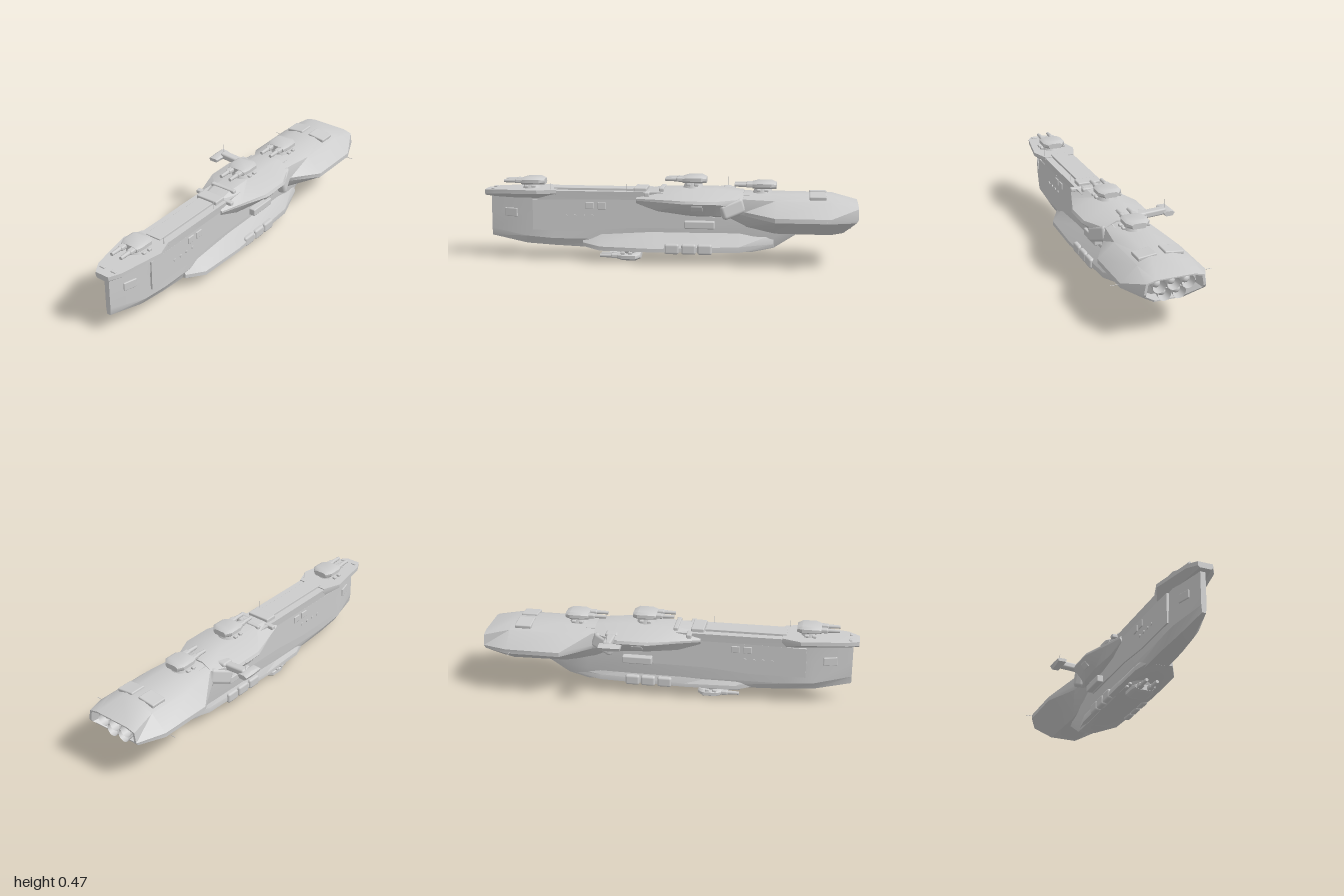
import * as THREE from 'three';
import { toCreasedNormals } from 'three/addons/utils/BufferGeometryUtils.js';
import { RoundedBoxGeometry } from 'three/addons/geometries/RoundedBoxGeometry.js';

const grey = new THREE.MeshStandardMaterial({ color: 0xcccccc });
const open = new THREE.MeshStandardMaterial({ color: 0xcccccc, side: THREE.DoubleSide });

function add(parent, name, geo, x = 0, y = 0, z = 0, mat = grey) {
  const m = new THREE.Mesh(geo, mat);
  m.name = name;
  m.position.set(x, y, z);
  parent.add(m);
  return m;
}

// Skin mirrored half outlines [x, y, dz] (top to bottom), ordered bow to stern;
// leftScale narrows the -x side.
function loft(sections, leftScale = 1, crease = 0.5) {
  const pos = [], idx = [];
  const n = sections[0].pts.length * 2;
  for (const { z, pts } of sections) {
    for (const [x, y, dz = 0] of pts) pos.push(x, y, z + dz);
    for (const [x, y, dz = 0] of [...pts].reverse()) pos.push(-x * leftScale, y, z + dz);
  }
  const last = (sections.length - 1) * n;
  for (let i = 0; i < last; i += n)
    for (let j = 0; j < n; j++) {
      const k = (j + 1) % n;
      idx.push(i + j, i + k, i + n + j, i + k, i + n + k, i + n + j);
    }
  for (let j = 1; j < n - 1; j++) idx.push(0, j + 1, j, last, last + j, last + j + 1);
  const g = new THREE.BufferGeometry();
  g.setAttribute('position', new THREE.Float32BufferAttribute(pos, 3));
  g.setIndex(idx);
  return toCreasedNormals(g, crease);
}

const box = (w, h, d, r = 0.006) => new RoundedBoxGeometry(w, h, d, 2, Math.min(r, w / 3, h / 3, d / 3));
const rod = (r, len, sides = 8) => new THREE.CylinderGeometry(r, r, len, sides);
const S = (z, ...pts) => ({ z, pts });

// Twin-barrel gun turret, barrels toward +z
function turret(parent, name, y, z, inverted = false) {
  const t = new THREE.Group();
  t.name = name;
  const ring = (zz, k, h) => S(zz, [0.045 * k, 0.038 * h], [0.063 * k, 0.028 * h], [0.063 * k, 0.01], [0.048 * k, 0]);
  add(t, 'turretBody', loft([ring(0.055, 0.8, 0.8), ring(0.025, 1, 1), ring(-0.045, 1, 1), ring(-0.072, 0.62, 0.75)], 1, 0.7));
  add(t, 'turretBase', new THREE.CylinderGeometry(0.042, 0.055, 0.03, 16), 0, -0.012, 0);
  for (const s of [-1, 1]) {
    add(t, 'barrelShroud', box(0.032, 0.024, 0.07, 0.008), s * 0.029, 0.017, 0.055);
    const b = add(t, 'barrel', new THREE.CylinderGeometry(0.009, 0.012, 0.075, 10), s * 0.029, 0.017, 0.112);
    b.rotation.x = Math.PI / 2;
    for (const dz of [-0.02, 0.02]) add(t, 'turretFitting', box(0.018, 0.014, 0.022), s * 0.066, -0.006, dz);
  }
  t.position.set(0, y, z);
  if (inverted) t.rotation.z = Math.PI;
  parent.add(t);
}

export function createModel() {
  const model = new THREE.Group();
  model.name = 'ship';
  const ship = new THREE.Group();
  ship.name = 'hullAssembly';
  ship.position.x = 0.02;
  model.add(ship);

  // Narrow main hull with wedge prow
  add(ship, 'mainHull', loft([
    S(0.97, [0.014, 0.36], [0.014, 0.25], [0.014, 0.16], [0.01, 0.12]),
    S(0.77, [0.065, 0.38], [0.068, 0.25], [0.07, 0.13], [0.04, 0.085]),
    S(0.62, [0.085, 0.38], [0.07, 0.25], [0.075, 0.12], [0.05, 0.078]),
    S(0.1, [0.085, 0.38], [0.07, 0.25], [0.075, 0.12], [0.06, 0.06]),
    S(-0.45, [0.08, 0.37], [0.07, 0.25], [0.072, 0.13], [0.055, 0.064]),
    S(-0.56, [0.06, 0.34], [0.065, 0.25], [0.06, 0.14], [0.04, 0.085]),
    S(-0.7, [0.05, 0.3], [0.05, 0.25], [0.05, 0.2], [0.04, 0.175]),
  ]));

  // Overhanging bow deck
  add(ship, 'bowDeck', loft([
    S(1.0, [0.04, 0.374], [0.04, 0.352], [0.03, 0.343]),
    S(0.94, [0.075, 0.38], [0.075, 0.358], [0.04, 0.338]),
    S(0.7, [0.12, 0.385], [0.12, 0.365], [0.065, 0.33]),
    S(0.6, [0.085, 0.385], [0.085, 0.365], [0.07, 0.33]),
  ]));
  add(ship, 'runway', box(0.09, 0.016, 0.43, 0.002), 0, 0.384, 0.405);

  // Lower sponson, fuller on the +x side
  add(ship, 'lowerSponson', loft([
    S(0.46, [0.06, 0.13], [0.075, 0.1], [0.075, 0.08], [0.03, 0.072]),
    S(0.36, [0.07, 0.15], [0.13, 0.09], [0.13, 0.068], [0.05, 0.062]),
    S(0.08, [0.07, 0.168], [0.137, 0.085], [0.137, 0.066], [0.05, 0.058]),
    S(-0.38, [0.07, 0.168], [0.12, 0.1], [0.12, 0.07], [0.05, 0.062]),
    S(-0.56, [0.05, 0.16], [0.065, 0.11], [0.06, 0.092], [0.03, 0.085]),
  ], 0.66));

  // Forward rim of the engine section, swept in toward the stern
  const sternTail = (k) => [[0.1 * k, 0.26 + 0.072 * k], [0.15 * k, 0.26 + 0.06 * k], [0.16 * k, 0.26 + 0.004 * k],
    [0.16 * k, 0.26 - 0.012 * k, 0.01], [0.075 * k, 0.26 - 0.08 * k, 0.075]];
  add(ship, 'engineSection', loft([
    S(-0.3, [0.05, 0.375], [0.1, 0.35], [0.11, 0.3], [0.1, 0.28], [0.06, 0.25]),
    S(-0.41, [0.055, 0.378], [0.115, 0.355], [0.13, 0.29], [0.125, 0.27], [0.065, 0.2]),
    S(-0.57, [0.06, 0.378], [0.135, 0.352], [0.222, 0.275], [0.222, 0.252], [0.07, 0.168]),
    S(-0.86, [0.06, 0.376], [0.135, 0.352], [0.222, 0.275], [0.222, 0.252], [0.08, 0.168]),
    S(-1.0, ...sternTail(1)),
    S(-1.0, ...sternTail(0.92)),
    S(-0.94, ...sternTail(0.85)),
  ]));

  // Engine nozzles, three above two
  for (const [x, y] of [[-0.075, 0.288], [0, 0.292], [0.075, 0.288], [-0.038, 0.232], [0.038, 0.232]]) {
    const z = y > 0.25 ? -0.95 : -0.93;
    const n = add(ship, 'engineNozzle', new THREE.CylinderGeometry(0.026, 0.034, 0.07, 20, 1, true), x, y, z, open);
    n.rotation.x = Math.PI / 2;
    add(ship, 'engineCore', new THREE.SphereGeometry(0.022, 14, 10), x, y, z + 0.01);
  }

  // Broad superstructure amidships
  add(ship, 'superstructure', loft([
    S(0.17, [0.05, 0.375], [0.09, 0.345], [0.09, 0.335], [0.08, 0.32], [0.06, 0.31]),
    S(0.05, [0.05, 0.395], [0.13, 0.348], [0.13, 0.335], [0.1, 0.285], [0.06, 0.27]),
    S(-0.1, [0.055, 0.4], [0.178, 0.35], [0.185, 0.335], [0.12, 0.275], [0.06, 0.25]),
    S(-0.26, [0.055, 0.4], [0.178, 0.35], [0.185, 0.335], [0.12, 0.265], [0.06, 0.25]),
    S(-0.4, [0.055, 0.385], [0.115, 0.355], [0.115, 0.31], [0.1, 0.265], [0.06, 0.25]),
  ]));

  // Bridge frame across the deck
  add(ship, 'bridgeBlock', box(0.13, 0.03, 0.07), 0, 0.385, 0.15);
  add(ship, 'bridgeBeam', box(0.23, 0.022, 0.028), 0, 0.372, 0.11);
  add(ship, 'bridgeRearWall', box(0.15, 0.02, 0.025), 0, 0.393, 0.035);

  // Mirrored side details; the armour panel outline runs in (z, y)
  const panel = new THREE.Shape([[0.73, 0.33], [0.73, 0.165], [0.42, 0.165], [0.2, 0.185], [-0.25, 0.19], [-0.25, 0.25], [0.04, 0.29], [0.1, 0.34]]
    .map(([z, y]) => new THREE.Vector2(-z, y)));
  const panelGeo = new THREE.ExtrudeGeometry(panel, { depth: 0.02, bevelEnabled: false }).rotateY(Math.PI / 2);
  for (const s of [-1, 1]) {
    add(ship, 'sidePanel', panelGeo, s * 0.07 - 0.01, 0, 0);
    for (const z of [0.42, 0.355]) add(ship, 'sideWindow', box(0.012, 0.038, 0.045), s * 0.08, 0.302, z);
    for (let i = 0; i < 4; i++) {
      const p = add(ship, 'porthole', rod(0.009, 0.01, 12), s * 0.08, 0.245, 0.55 - i * 0.048);
      p.rotation.z = Math.PI / 2;
    }
    add(ship, 'prowPlate', box(0.012, 0.046, 0.075), s * 0.046, 0.254, 0.855).rotation.y = -s * 0.27;
    add(ship, 'bowHatch', box(0.03, 0.008, 0.015), s * 0.035, 0.381, 0.955);
    add(ship, 'sternHatch', box(0.1, 0.02, 0.09), s * 0.07, 0.372, -0.79).rotation.z = -s * 0.12;
    const width = s > 0 ? 0.12 : 0.078;
    for (const z of [-0.025, -0.115, -0.2]) add(ship, 'ribbedTank', box(0.035, 0.055, 0.078, 0.014), s * width, 0.084, z);
    add(ship, 'sideFin', box(0.05, 0.04, 0.16), s * 0.09, 0.212, -0.17);
    const pod = add(ship, 'sideIntake', box(0.05, 0.08, 0.13, 0.02), s * 0.125, 0.305, -0.345);
    pod.rotation.set(0.35, s * 0.35, 0);
    add(ship, 'sideHatch', box(0.014, 0.04, 0.06), s * 0.158, 0.31, -0.16).rotation.z = -s * 0.7;
    add(ship, 'deckLocker', box(0.02, 0.018, 0.045), s * 0.085, 0.345, 0.11);
    add(ship, 'sternAntenna', rod(0.0015, 0.08, 5), s * 0.225, 0.26, -0.84).rotation.z = Math.PI / 2;
  }

  // Lookout arm on the -x side
  add(ship, 'lookoutArm', box(0.18, 0.035, 0.045, 0.01), -0.17, 0.353, -0.3).rotation.z = -0.06;
  add(ship, 'lookoutArmRoot', box(0.06, 0.05, 0.07, 0.012), -0.115, 0.348, -0.3);
  const pod = new THREE.Group();
  pod.name = 'lookoutPod';
  add(pod, 'podShell', loft([
    S(0.06, [0.018, 0.008], [0.026, 0.004], [0.022, -0.01]),
    S(0, [0.014, 0.015], [0.03, 0.004], [0.02, -0.016]),
    S(-0.055, [0.014, 0.012], [0.03, 0.004], [0.018, -0.014]),
  ]));
  pod.position.set(-0.268, 0.352, -0.285);
  ship.add(pod);
  add(ship, 'lookoutMast', rod(0.0015, 0.06, 5), -0.256, 0.39, -0.3);
  for (const [x, z] of [[0.072, 0.22], [0.08, 0.63]]) add(ship, 'deckMast', rod(0.0015, 0.045, 5), x, 0.398, z);

  // Gun turrets
  turret(ship, 'bowTurret', 0.405, 0.745);
  turret(ship, 'midTurret', 0.427, -0.13);
  turret(ship, 'rearTurret', 0.402, -0.5);
  turret(ship, 'bellyTurret', 0.038, 0.225, true);
  return model;
}
